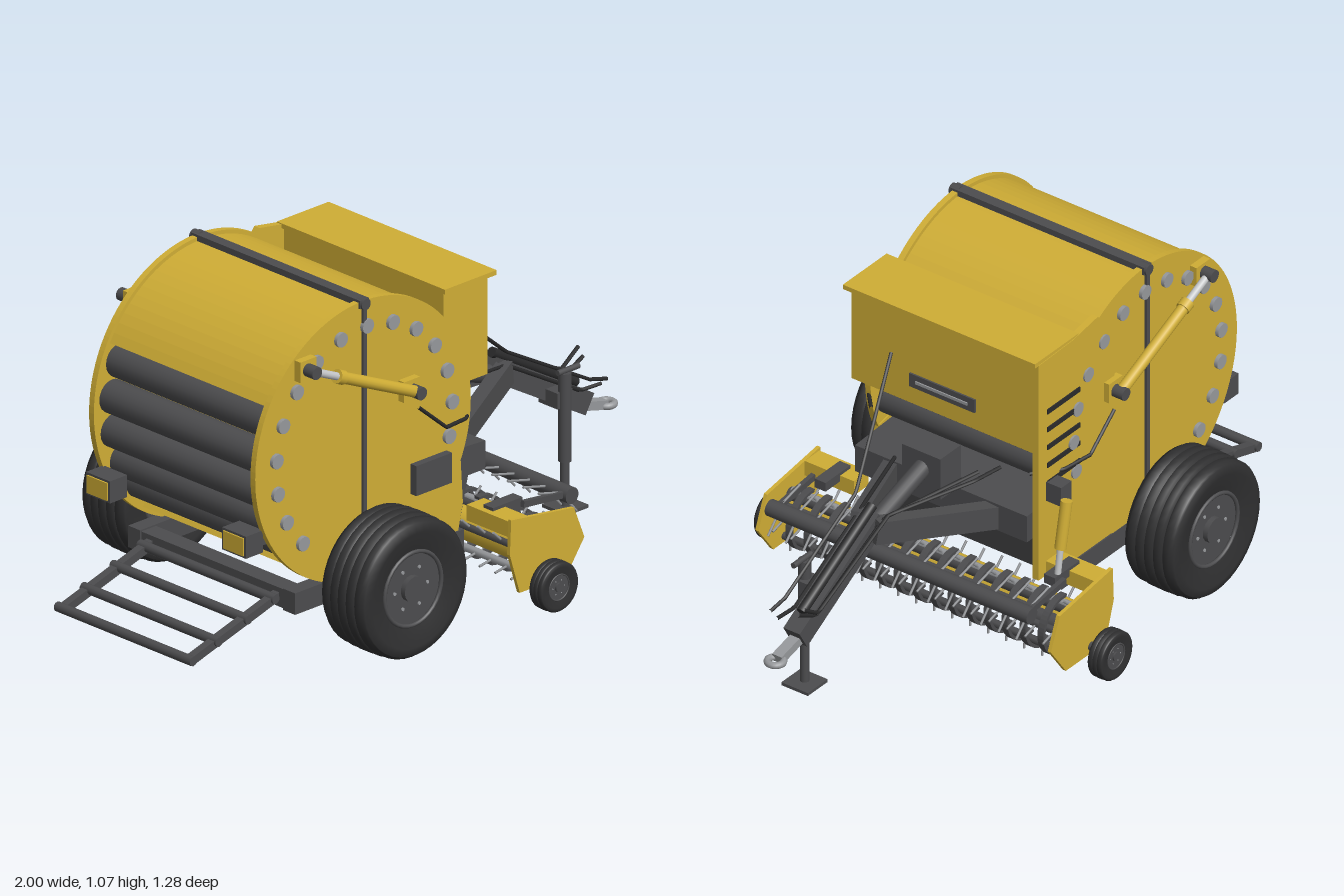
import * as THREE from 'three';

const mat = (name, color, side = THREE.FrontSide) => {
  const m = new THREE.MeshStandardMaterial({ color, side });
  m.name = name;
  return m;
};
const V = (p) => new THREE.Vector3(...p);

export function createModel() {
  const yellow = mat('yellow paint', 0xcfad35);
  const dark = mat('dark steel', 0x4c4c4e);
  const black = mat('black hose', 0x2a2a2b);
  const rubber = mat('tyre rubber', 0x2f2f30);
  const grey = mat('grey steel', 0x96989b);
  const silver = mat('bright rod', 0xc4c6c8);
  const root = new THREE.Group();
  root.name = 'roundBaler';

  // ---- helpers ----
  const add = (name, geo, m, pos = [0, 0, 0]) => {
    const mesh = new THREE.Mesh(geo, m);
    mesh.name = name;
    mesh.position.set(...pos);
    root.add(mesh);
    return mesh;
  };
  const box = (name, m, x0, x1, y0, y1, z0, z1) =>
    add(name, new THREE.BoxGeometry(x1 - x0, y1 - y0, z1 - z0), m, [(x0 + x1) / 2, (y0 + y1) / 2, (z0 + z1) / 2]);
  const rod = (name, m, a, b, r, seg = 14) => {
    const d = V(b).sub(V(a));
    const mesh = add(name, new THREE.CylinderGeometry(r, r, d.length(), seg), m);
    mesh.position.copy(V(a).add(V(b)).multiplyScalar(0.5));
    mesh.quaternion.setFromUnitVectors(new THREE.Vector3(0, 1, 0), d.normalize());
    return mesh;
  };
  const beam = (name, m, a, b, w, h) => {
    const mesh = add(name, new THREE.BoxGeometry(w, h, V(a).distanceTo(V(b))), m);
    mesh.position.copy(V(a).add(V(b)).multiplyScalar(0.5));
    mesh.lookAt(V(b));
    return mesh;
  };
  const hose = (name, pts, r = 0.006) => {
    const path = new THREE.CurvePath();
    for (let i = 1; i < pts.length; i++) path.add(new THREE.LineCurve3(V(pts[i - 1]), V(pts[i])));
    return add(name, new THREE.TubeGeometry(path, 40, r, 6), black);
  };
  const slab = (name, m, shape, z, depth, curveSegments = 64) =>
    add(name, new THREE.ExtrudeGeometry(shape, { depth, bevelEnabled: false, curveSegments }), m, [0, 0, z - depth / 2]);
  const poly = (pts) => new THREE.Shape(pts.map((p) => new THREE.Vector2(...p)));
  const rad = THREE.MathUtils.degToRad;
  const CX = -0.358, CY = 0.622;
  const polar = (deg, r) => [CX + r * Math.cos(rad(deg)), CY + r * Math.sin(rad(deg))];

  // ---- bale chamber: side discs, curved covers, rollers ----
  const arcCover = (name, a0, a1, seg) => {
    const s = new THREE.Shape();
    s.absarc(CX, CY, 0.425, rad(a0), rad(a1), false);
    s.absarc(CX, CY, 0.41, rad(a1), rad(a0), true);
    slab(name, yellow, s, 0, 0.66, seg);
  };
  arcCover('topCover', 28, 151, 14);
  arcCover('bottomCover', 236, 318, 8);
  const angles = Array.from({ length: 15 }, (_, i) => -15 + i * 17.2);
  for (const a of angles) {
    if (a > 20 && a < 150) continue;
    const [x, y] = polar(a, 0.365);
    rod('chamberRoller', dark, [x, y, -0.33], [x, y, 0.33], 0.052, 20);
  }
  for (const s of [1, -1]) {
    const disc = new THREE.Shape();
    disc.absarc(CX, CY, 0.437, 0, Math.PI * 2, false);
    slab('sideDisc', yellow, disc, s * 0.338, 0.02);
    for (const a of angles) {
      const [x, y] = polar(a, 0.357);
      rod('rollerBearing', grey, [x, y, s * 0.34], [x, y, s * 0.36], 0.023, 12);
    }
    box('sideSeam', dark, CX - 0.007, CX + 0.007, 0.3, 1.05, s * 0.351 - 0.006, s * 0.351 + 0.006);
    rod('seamPivot', dark, [CX, 1.052, s * 0.33], [CX, 1.052, s * 0.362], 0.018);
    slab('lowerSidePlate', yellow, poly([[-0.3, 0.2], [0.03, 0.21], [0.05, 0.3], [0.04, 0.45], [-0.2, 0.5]]), s * 0.335, 0.02);
  }
  box('topStrap', dark, CX - 0.018, CX + 0.018, 1.04, 1.066, -0.355, 0.355);

  // ---- front hopper ----
  box('hopper', yellow, -0.02, 0.16, 0.67, 0.985, -0.335, 0.335);
  box('hopperLid', yellow, -0.03, 0.18, 0.983, 0.998, -0.352, 0.352);
  box('frontPlate', dark, 0.16, 0.166, 0.73, 0.775, -0.12, 0.12);
  box('frontPlateBar', grey, 0.166, 0.17, 0.748, 0.757, -0.095, 0.095);
  slab('slottedSidePanel', yellow,
    poly([[-0.2, 0.3], [0.02, 0.24], [0.165, 0.24], [0.165, 0.985], [0, 0.99], [-0.12, 1.01], [-0.2, 0.9]]), -0.343, 0.022);
  for (let i = 0; i < 5; i++) {
    const y = 0.55 + i * 0.062;
    box('ventSlot', black, -0.03, 0.125, y, y + 0.016, -0.358, -0.353);
  }

  // ---- feed housing and gearbox ----
  rod('feedRoller', dark, [0.02, 0.62, -0.32], [0.02, 0.62, 0.32], 0.05, 20);
  slab('feedHousing', dark, poly([[-0.1, 0.2], [0.06, 0.2], [0.1, 0.36], [0.17, 0.36], [0.17, 0.45], [-0.05, 0.46]]), 0, 0.63);
  box('gearbox', dark, 0.165, 0.265, 0.46, 0.6, -0.07, 0.07);
  box('sideControlBox', dark, -0.165, -0.02, 0.39, 0.485, 0.348, 0.372);
  box('valveBox', dark, 0.08, 0.13, 0.5, 0.565, -0.41, -0.355);

  // ---- chassis and axle ----
  rod('axle', dark, [-0.38, 0.225, -0.5], [-0.38, 0.225, 0.5], 0.03);
  for (const s of [1, -1]) {
    box('chassisRail', dark, -0.635, 0.05, 0.147, 0.215, s * 0.325 - 0.025, s * 0.325 + 0.025);
    box('rearLampBox', dark, -0.82, -0.75, 0.375, 0.445, s * 0.285 - 0.05, s * 0.285 + 0.05);
    box('rearLampFace', yellow, -0.825, -0.82, 0.382, 0.438, s * 0.285 - 0.042, s * 0.285 + 0.042);
    beam('lampBracket', dark, [-0.76, 0.41, s * 0.3], [-0.66, 0.41, s * 0.325], 0.03, 0.04);
  }
  box('rearCrossBeam', dark, -0.63, -0.57, 0.15, 0.21, -0.33, 0.33);

  // ---- rear bale ramp ----
  const rampY = (x) => 0.08 + (x + 0.98) * 0.29;
  for (const s of [1, -1]) beam('rampRail', dark, [-0.985, rampY(-0.985), s * 0.265], [-0.6, rampY(-0.6), s * 0.265], 0.026, 0.026);
  for (const x of [-0.985, -0.88, -0.76, -0.65])
    rod('rampBar', dark, [x, rampY(x) + 0.005, -0.285], [x, rampY(x) + 0.005, 0.285], 0.015, 10);

  // ---- wheels: ribbed tyre, dished rim, hub ----
  const wheel = (name, x, y, z, r, w, rim, ribs) => {
    const pts = [[rim, -w * 0.4], [r * 0.82, -w * 0.5], [r * 0.94, -w * 0.47]];
    for (let i = 0; i < ribs; i++) {
      const c = ((i + 0.5) / ribs - 0.5) * w * 0.86, h = (w * 0.86) / ribs;
      const top = r * (1 - 0.04 * (2 * c / w) ** 2);
      pts.push([top * 0.96, c - h * 0.48], [top, c - h * 0.32], [top, c + h * 0.32], [top * 0.96, c + h * 0.48]);
    }
    pts.push([r * 0.94, w * 0.47], [r * 0.82, w * 0.5], [rim, w * 0.4]);
    const tyre = new THREE.LatheGeometry(pts.map((p) => new THREE.Vector2(...p)), 40).rotateX(Math.PI / 2);
    add(name + 'Tyre', tyre, rubber, [x, y, z]);
    rod(name + 'Rim', dark, [x, y, z - w * 0.36], [x, y, z + w * 0.36], rim * 1.03, 32);
    for (const s of [1, -1]) add(name + 'RimLip', new THREE.TorusGeometry(rim, r * 0.03, 8, 32), dark, [x, y, z + s * w * 0.41]);
    rod(name + 'Hub', dark, [x, y, z - w * 0.45], [x, y, z + w * 0.45], rim * 0.35, 16);
    for (let i = 0; i < 6; i++) {
      const a = (i * Math.PI) / 3, bx = x + rim * 0.58 * Math.cos(a), by = y + rim * 0.58 * Math.sin(a);
      rod(name + 'Bolt', grey, [bx, by, z - w * 0.38], [bx, by, z + w * 0.38], rim * 0.05, 6);
    }
  };

  // ---- paired side equipment ----
  for (const s of [1, -1]) {
    wheel('mainWheel', -0.38, 0.225, s * 0.502, 0.22, 0.19, 0.115, 5);
    wheel('gaugeWheel', 0.16, 0.085, s * 0.612, 0.078, 0.055, 0.04, 3);
    rod('gaugeAxle', dark, [0.16, 0.085, s * 0.53], [0.16, 0.085, s * 0.6], 0.014);

    // tailgate ram
    const z = s * 0.39;
    box('ramBracket', yellow, -0.635, -0.57, 0.888, 0.953, s * 0.36 - 0.012, s * 0.36 + 0.012);
    box('ramBracket', yellow, -0.215, -0.15, 0.7, 0.765, s * 0.36 - 0.012, s * 0.36 + 0.012);
    rod('ramRod', silver, [-0.6, 0.92, z], [-0.42, 0.839, z], 0.012);
    rod('ramBarrel', yellow, [-0.5, 0.875, z], [-0.18, 0.731, z], 0.018);
    rod('ramCollar', yellow, [-0.505, 0.877, z], [-0.48, 0.866, z], 0.022);
    for (const [x, y] of [[-0.605, 0.922], [-0.18, 0.731]]) rod('ramPin', dark, [x, y, s * 0.35], [x, y, s * 0.412], 0.02);
    hose('ramHose', [[-0.165, 0.675, s * 0.38], [-0.05, 0.577, s * 0.38], [0.05, 0.57, s * 0.36], [0.125, 0.565, s * 0.29]]);

    // pickup end plates and lift arms
    slab('pickupEndPlate', yellow, poly([[0.055, 0.3], [0.05, 0.19], [0.09, 0.06], [0.28, 0.06], [0.352, 0.16], [0.31, 0.265], [0.2, 0.28]]), s * 0.536, 0.012);
    box('pickupBracket', yellow, 0.06, 0.13, 0.24, 0.29, s * 0.44 - 0.09, s * 0.44 + 0.09);
    box('pickupArm', dark, 0.08, 0.2, 0.27, 0.3, s * 0.42 - 0.02, s * 0.42 + 0.02);
    beam('windguardArm', dark, [0.18, 0.29, s * 0.46], [0.36, 0.27, s * 0.46], 0.015, 0.02);

    // drawbar A-frame arms
    beam('drawbarArm', dark, [0.07, 0.385, s * 0.23], [0.53, 0.475, s * 0.03], 0.045, 0.075);
  }
  rod('liftRamBarrel', yellow, [0.13, 0.53, -0.43], [0.16, 0.38, -0.43], 0.018);
  rod('liftRamRod', silver, [0.16, 0.38, -0.43], [0.175, 0.28, -0.43], 0.01);

  // ---- pickup reel ----
  const PX = 0.2, PY = 0.155;
  rod('reelCore', yellow, [PX - 0.03, PY + 0.01, -0.53], [PX - 0.03, PY + 0.01, 0.53], 0.05, 16);
  for (let k = 0; k < 5; k++) {
    const a = (k * Math.PI * 2) / 5 + 0.3, x = PX + 0.075 * Math.cos(a), y = PY + 0.075 * Math.sin(a);
    rod('tineBar', k % 2 ? grey : dark, [x, y, -0.52], [x, y, 0.52], 0.012, 8);
    for (let i = 0; i < 16; i++) {
      const z = -0.495 + i * 0.066;
      rod('reelTine', grey, [x, y, z], [PX + 0.13 * Math.cos(a - 0.25), PY + 0.11 * Math.sin(a - 0.25), z], 0.004, 5);
    }
  }
  const band = new THREE.Shape();
  band.absarc(PX, PY, 0.098, -Math.PI * 0.6, Math.PI * 0.55, false);
  band.absarc(PX, PY, 0.088, Math.PI * 0.55, -Math.PI * 0.6, true);
  for (let i = 0; i < 15; i++) slab('stripperBand', dark, band, -0.462 + i * 0.066, 0.022, 14);
  rod('upperCrossTube', dark, [0.2, 0.215, -0.53], [0.2, 0.215, 0.53], 0.02);
  rod('lowerCrossTube', dark, [0.22, 0.165, -0.53], [0.22, 0.165, 0.53], 0.026);

  // ---- windguard roller with hanging tines ----
  rod('windguardRoller', dark, [0.362, 0.268, -0.48], [0.362, 0.268, 0.48], 0.026, 18);
  for (let i = 0; i < 15; i++) {
    const z = -0.455 + i * 0.065;
    rod('windguardTine', grey, [0.25, 0.3, z], [0.35, 0.275, z], 0.004, 5);
    rod('windguardTine', grey, [0.35, 0.26, z], [0.405, 0.2, z], 0.004, 5);
  }

  // ---- drawbar, driveshaft, hitch eye ----
  beam('drawbarNeck', dark, [0.49, 0.49, 0], [0.87, 0.268, 0], 0.06, 0.07);
  rod('driveshaft', dark, [0.25, 0.545, 0], [0.52, 0.46, 0], 0.028, 16);
  rod('driveshaftFront', black, [0.5, 0.535, 0], [0.84, 0.34, 0], 0.016);
  beam('hitchShank', grey, [0.84, 0.265, 0], [0.955, 0.236, 0], 0.035, 0.028);
  add('hitchEye', new THREE.TorusGeometry(0.024, 0.011, 10, 24).rotateX(Math.PI / 2), grey, [0.965, 0.234, 0]);

  // ---- parking jack ----
  rod('jackLeg', dark, [0.72, 0.005, 0.08], [0.72, 0.25, 0.08], 0.014);
  rod('jackTube', dark, [0.72, 0.15, 0.08], [0.72, 0.43, 0.08], 0.02);
  box('jackFoot', dark, 0.675, 0.77, 0, 0.01, 0.03, 0.127);
  box('jackMount', dark, 0.69, 0.75, 0.32, 0.37, 0, 0.08);
  rod('jackCrank', dark, [0.69, 0.435, 0.08], [0.775, 0.435, 0.08], 0.009);

  // ---- hydraulic lines along the drawbar ----
  hose('mainHose', [[0.16, 0.815, 0.19], [0.5, 0.555, 0.06], [0.84, 0.365, 0.06], [0.905, 0.35, 0.065]]);
  hose('upperHose', [[0.16, 0.575, -0.21], [0.26, 0.57, -0.19], [0.5, 0.525, -0.06], [0.84, 0.36, -0.06], [0.915, 0.41, -0.065]]);
  hose('lowerHose', [[0.2, 0.56, -0.16], [0.5, 0.51, -0.045], [0.83, 0.34, -0.045], [0.915, 0.385, -0.045]]);
  hose('sideHose', [[0.26, 0.54, 0.1], [0.52, 0.5, 0.04], [0.82, 0.33, 0.04], [0.9, 0.33, 0.045]]);
  return root;
}
